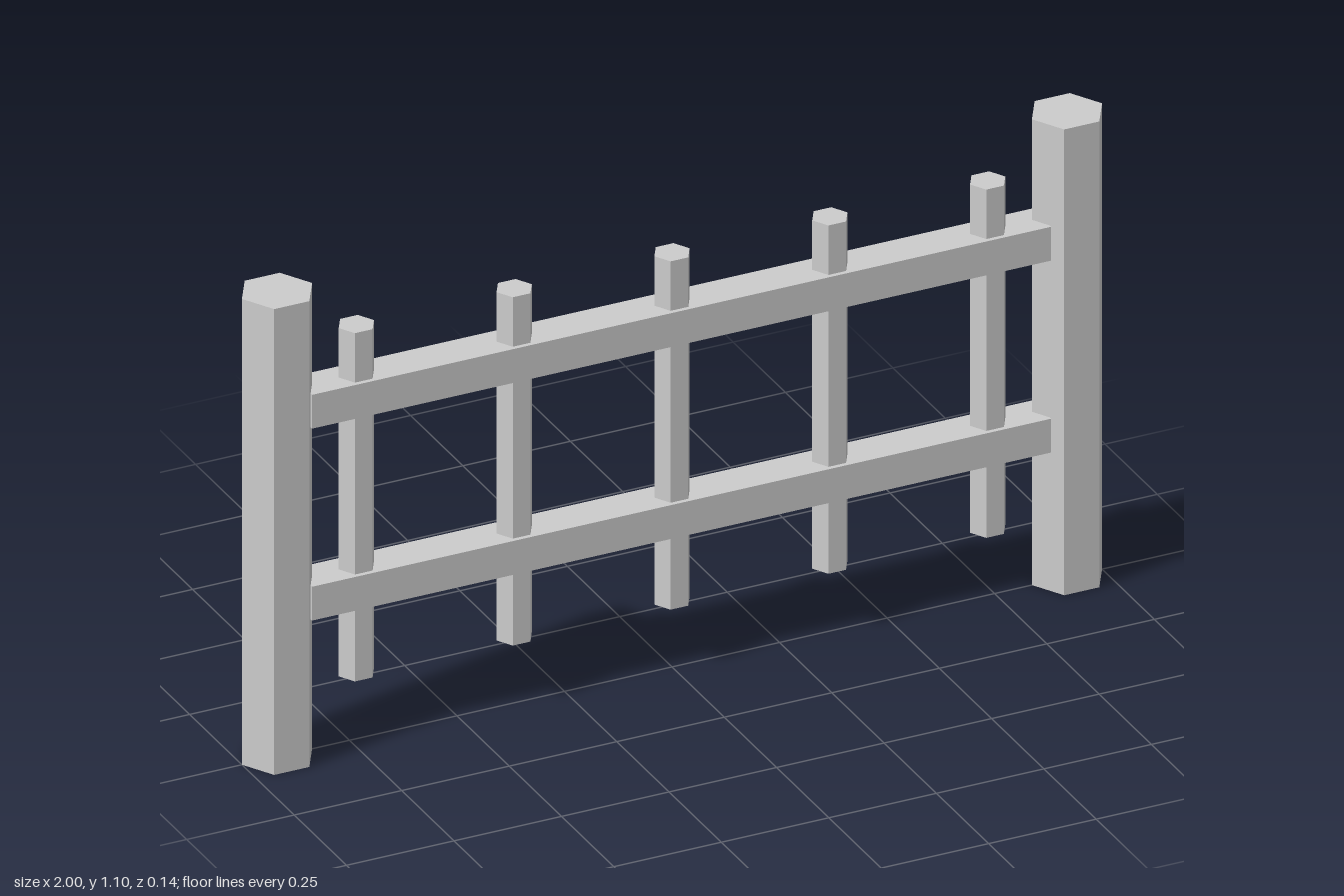
import * as THREE from 'three';

export function createModel() {
  const model = new THREE.Group();
  model.name = 'fence';
  const grey = new THREE.MeshStandardMaterial({ color: 0xcccccc, flatShading: true });
  grey.name = 'light grey';

  const add = (name, geometry, x, y) => {
    const mesh = new THREE.Mesh(geometry, grey);
    mesh.name = name;
    mesh.position.set(x, y, 0);
    model.add(mesh);
  };

  // Upright six-sided prism with corners pointing along x
  const hexPrism = (radius, height) =>
    new THREE.CylinderGeometry(radius, radius, height, 6, 1, false, Math.PI / 2);

  // End posts
  const post = hexPrism(0.0816, 1.102);
  add('leftPost', post, 0.9184, 0.551);
  add('rightPost', post, -0.9184, 0.551);

  // Horizontal rails, their ends sunk into the posts
  const rail = new THREE.BoxGeometry(1.718, 0.08, 0.091);
  add('lowerRail', rail, 0, 0.37);
  add('upperRail', rail, 0, 0.824);

  // Five thin pickets running through the rails
  const picket = hexPrism(0.041, 0.824);
  for (let i = -2; i <= 2; i++) add(`picket${i + 3}`, picket, i * 0.367, 0.569);

  return model;
}
